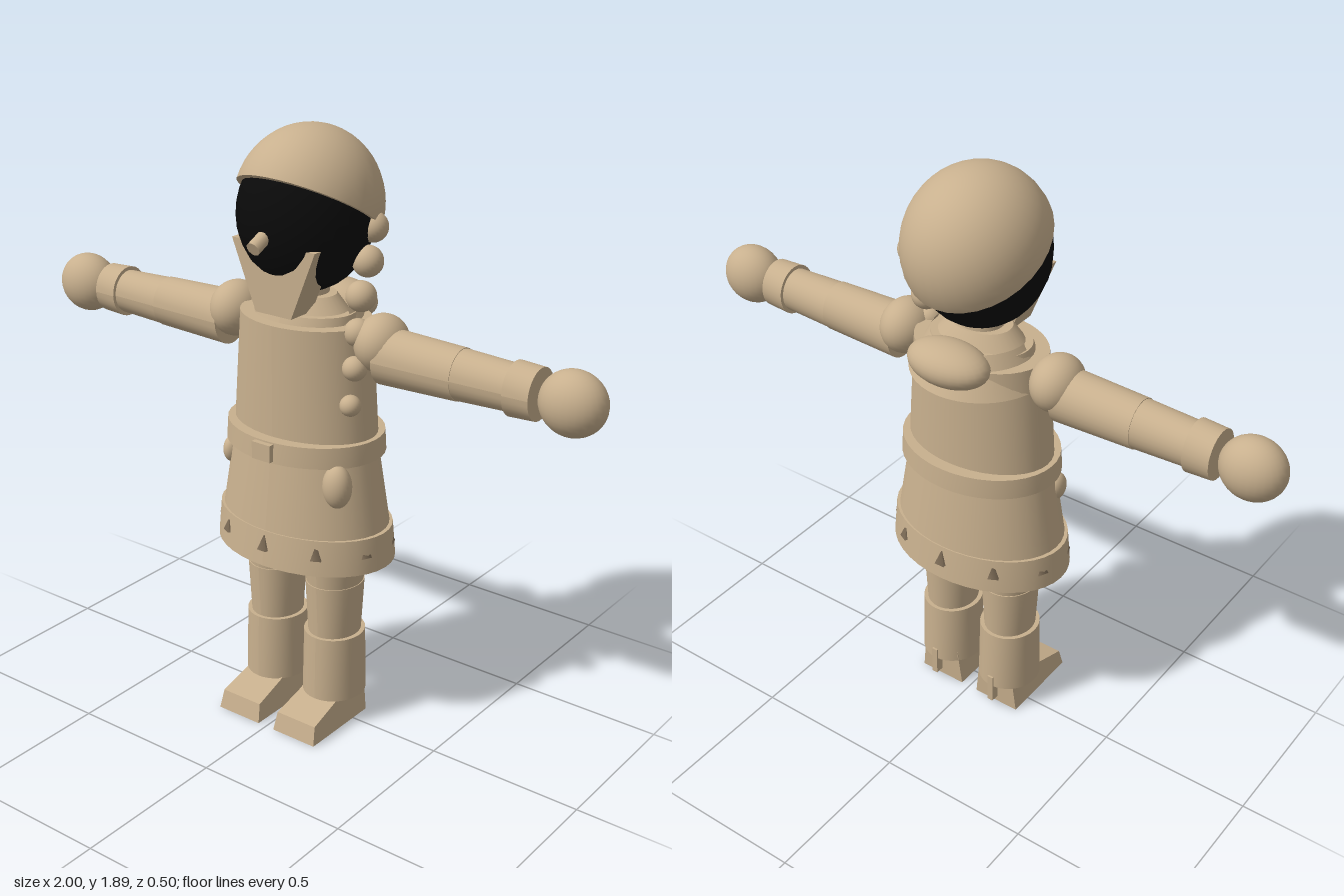
import * as THREE from 'three';

const tan = new THREE.MeshStandardMaterial({ color: 0xc8b08e });
tan.name = 'tan cloth';
const black = new THREE.MeshStandardMaterial({ color: 0x0a0a0a });
black.name = 'black face';
const brown = new THREE.MeshStandardMaterial({ color: 0x7c6b56 });
brown.name = 'brown trim';

export function createModel() {
  const root = new THREE.Group();
  root.name = 'doll';

  const add = (name, geo, mat = tan, pos = [0, 0, 0]) => {
    const m = new THREE.Mesh(geo, mat);
    m.name = name;
    m.position.set(...pos);
    root.add(m);
    return m;
  };
  const ball = (name, pos, r, mat = tan) => {
    const m = add(name, new THREE.SphereGeometry(1, 28, 18), mat, pos);
    m.scale.set(...r);
    return m;
  };
  // Elliptical band between heights y0 and y1, radii [rx, rz] at each end
  const bandGeo = (y0, r0, y1, r1, sides = 32) => {
    const g = new THREE.CylinderGeometry(1, 1, 1, sides);
    const p = g.attributes.position;
    for (let i = 0; i < p.count; i++) {
      const t = p.getY(i) + 0.5;
      p.setXYZ(i,
        p.getX(i) * (r0[0] + (r1[0] - r0[0]) * t),
        y0 + (y1 - y0) * t,
        p.getZ(i) * (r0[1] + (r1[1] - r0[1]) * t));
    }
    g.computeVertexNormals();
    return g;
  };

  // Head and tilted hair cap
  ball('head', [0, 1.63, 0], [0.203, 0.228, 0.206], black);
  const hair = new THREE.Group();
  hair.name = 'hair';
  hair.position.set(0, 1.655, -0.015);
  hair.scale.set(0.214, 0.235, 0.235);
  const tilt = new THREE.Group();
  tilt.rotation.x = -Math.PI / 6;
  const cap = new THREE.Mesh(new THREE.SphereGeometry(1, 32, 14, 0, Math.PI * 2, 0, Math.PI / 2), tan);
  cap.name = 'hairCap';
  const under = new THREE.Mesh(new THREE.CircleGeometry(1, 32), tan);
  under.name = 'hairUnderside';
  under.rotation.x = Math.PI / 2;
  tilt.add(cap, under);
  hair.add(tilt);
  root.add(hair);

  // Tapered chin guard and small nose peg
  const chin = new THREE.Shape([[-0.15, 1.57], [-0.065, 1.36], [0.065, 1.36], [0.15, 1.57]]
    .map(([x, y]) => new THREE.Vector2(x, y)));
  add('chinGuard', new THREE.ExtrudeGeometry(chin, { depth: 0.1, bevelEnabled: false }), tan, [0, 0, 0.056]);
  const nose = add('nose', new THREE.CylinderGeometry(0.022, 0.022, 0.07, 12), tan, [0, 1.592, 0.212]);
  nose.rotation.x = Math.PI / 2 + 0.45;

  // Braid of beads hanging over the left shoulder
  [[0.185, 1.605, -0.075, 0.046], [0.193, 1.512, -0.04, 0.047], [0.2, 1.418, 0, 0.046],
    [0.215, 1.32, 0.035, 0.042], [0.228, 1.222, 0.067, 0.037], [0.238, 1.12, 0.1, 0.032]]
    .forEach(([x, y, z, r]) => ball('braidBead', [x, y, z], [r, r, r]));

  // Neck, collar, torso and skirt
  add('neck', bandGeo(1.3, [0.075, 0.07], 1.46, [0.07, 0.065]));
  add('collarBase', bandGeo(1.31, [0.175, 0.135], 1.355, [0.165, 0.12]));
  add('collar', bandGeo(1.355, [0.14, 0.1], 1.4, [0.1, 0.075]));
  add('torso', bandGeo(0.95, [0.245, 0.166], 1.33, [0.215, 0.164], 40));
  add('belt', bandGeo(0.92, [0.262, 0.208], 0.985, [0.258, 0.204], 40));
  add('buckle', new THREE.BoxGeometry(0.068, 0.054, 0.03), tan, [0, 0.953, 0.205]);
  add('skirt', bandGeo(0.66, [0.288, 0.206], 0.95, [0.24, 0.172], 40));
  add('hem', bandGeo(0.578, [0.304, 0.219], 0.69, [0.296, 0.206], 40));

  // Small pointed studs round the hem
  for (let i = 0; i < 10; i++) {
    const a = i * Math.PI / 5;
    const s = add('hemPoint', new THREE.ConeGeometry(0.024, 0.052, 4), brown,
      [Math.sin(a) * 0.284, 0.655, Math.cos(a) * 0.206]);
    s.rotation.y = Math.atan2(Math.sin(a) / 0.3, Math.cos(a) / 0.214) + Math.PI / 4;
  }

  // Pouches on the skirt
  ball('leftPouch', [0.208, 0.862, 0.12], [0.046, 0.068, 0.042]);
  ball('rightPouch', [-0.23, 0.858, 0.07], [0.028, 0.045, 0.04]);

  // Hood roll and short cape at the back
  ball('hoodRoll', [0, 1.335, -0.16], [0.135, 0.066, 0.086]);
  const cape = new THREE.CylinderGeometry(0.15, 0.215, 0.12, 20, 1, true, Math.PI / 2, Math.PI);
  const capeMat = tan.clone();
  capeMat.side = THREE.DoubleSide;
  capeMat.name = 'tan cape';
  add('backCape', cape, capeMat, [0, 1.312, 0]);

  // Shoe with a sloping toe, built from a side profile
  const profile = new THREE.Shape([[0.21, 0], [0.195, 0.06], [0.08, 0.095], [0.02, 0.13], [-0.075, 0.13], [-0.07, 0]]
    .map(([z, y]) => new THREE.Vector2(z, y)));
  const shoeGeo = new THREE.ExtrudeGeometry(profile, { depth: 0.16, bevelEnabled: false });
  shoeGeo.translate(0, 0, -0.08).rotateY(-Math.PI / 2);
  const sp = shoeGeo.attributes.position;
  for (let i = 0; i < sp.count; i++) sp.setX(i, sp.getX(i) * (1 - sp.getY(i) * 1.4));
  shoeGeo.computeVertexNormals();

  for (const side of [-1, 1]) {
    const label = side > 0 ? 'left' : 'right';

    // Leg, boot and shoe
    const lx = side * 0.114;
    add(label + 'Thigh', bandGeo(0.48, [0.087, 0.094], 0.64, [0.098, 0.108]), tan, [lx, 0, 0]);
    add(label + 'Knee', bandGeo(0.3, [0.08, 0.088], 0.485, [0.09, 0.098]), tan, [lx, 0, 0]);
    add(label + 'Boot', bandGeo(0.095, [0.099, 0.105], 0.31, [0.095, 0.1]), tan, [lx, 0, 0]);
    add(label + 'Shoe', shoeGeo, tan, [side * 0.11, 0, 0]);
    add(label + 'HeelTab', new THREE.BoxGeometry(0.02, 0.1, 0.03), tan, [lx, 0.085, -0.095]);

    // Arm segments running outward from the shoulder
    [['UpperArm', 0.29, 0.086, 0.55, 0.078], ['Forearm', 0.545, 0.076, 0.725, 0.069], ['Cuff', 0.72, 0.081, 0.8, 0.077]]
      .forEach(([n, x0, r0, x1, r1]) => {
        const g = bandGeo(x0, [r0, r0 * 0.93], x1, [r1, r1 * 0.93], 28);
        g.rotateZ(-side * Math.PI / 2);
        add(label + n, g, tan, [0, 1.257, 0]);
      });
    ball(label + 'Shoulder', [side * 0.272, 1.29, -0.005], [0.078, 0.087, 0.092]);
    ball(label + 'Hand', [side * 0.9, 1.255, 0], [0.1, 0.095, 0.08]);
  }
  return root;
}
